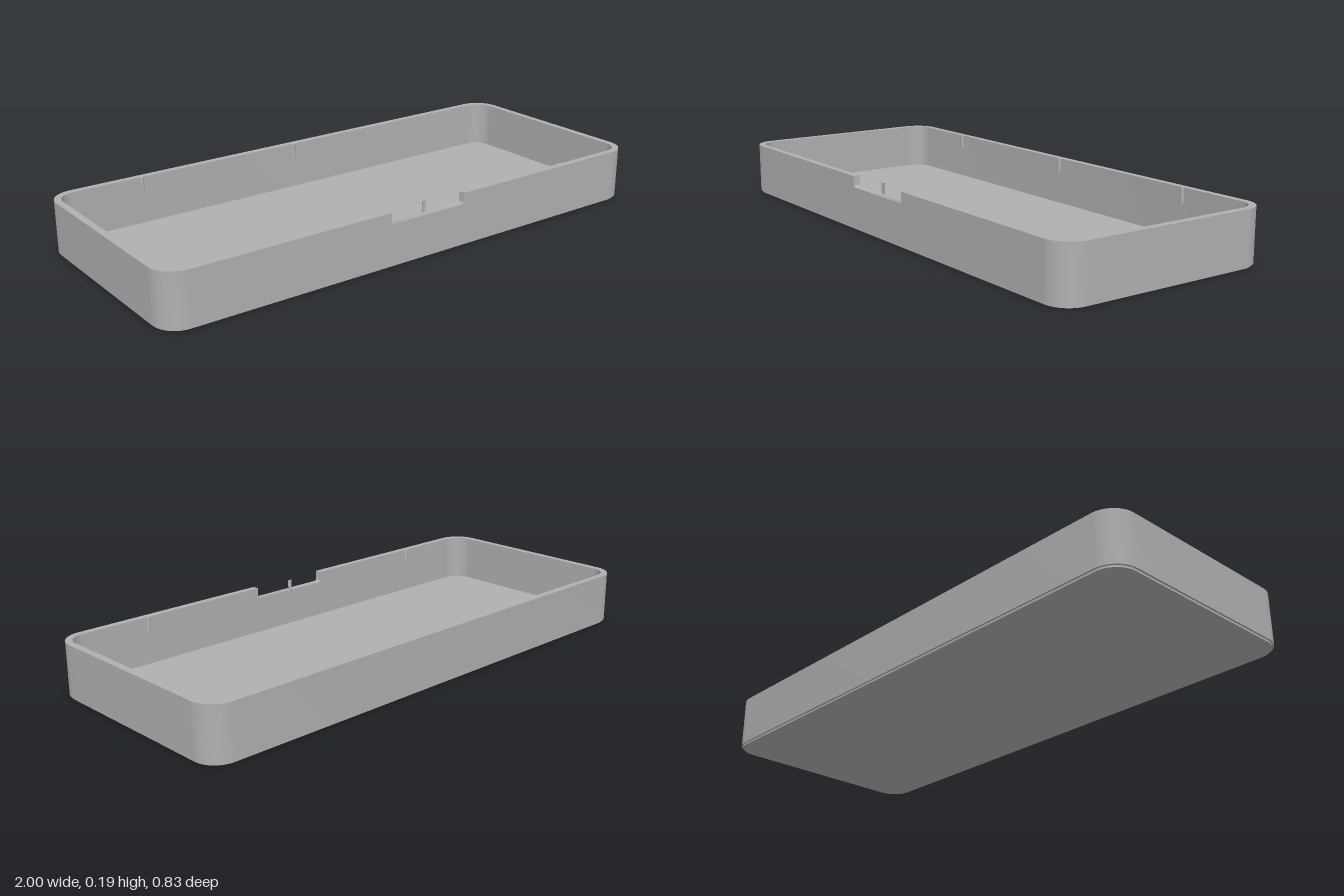
import * as THREE from 'three';
import { toCreasedNormals } from 'three/addons/utils/BufferGeometryUtils.js';

const HX = 1, HZ = 0.4175;             // outer half sizes
const TOP = 0.195, STEP = 0.007;       // rim height, base lip height
const WALL = 0.0245, FLOOR = 0.022;    // thicknesses
const R = 0.09;                        // outer corner radius

const grey = new THREE.MeshStandardMaterial({ color: 0xb0b0b0 });
grey.name = 'grey';

function addMesh(group, name, geometry) {
  const mesh = new THREE.Mesh(toCreasedNormals(geometry, 0.6), grey);
  mesh.name = name;
  group.add(mesh);
  return mesh;
}

// Extrude a plan shape (x, -z) upwards from y0 to y1
function extrudeUp(shape, y0, y1) {
  const g = new THREE.ExtrudeGeometry(shape, { depth: y1 - y0, bevelEnabled: false, curveSegments: 16 });
  return g.rotateX(-Math.PI / 2).translate(0, y0, 0);
}

// Rounded rectangle outline, starting and ending on the front edge, inset from the outside
function outline(path, inset, clockwise) {
  const cx = HX - R, cz = HZ - R, r = R - inset, q = Math.PI / 2;
  const corners = [[cx, -cz, -q], [cx, cz, 0], [-cx, cz, q], [-cx, -cz, 2 * q]];
  if (clockwise) corners.reverse();
  for (const [x, y, a] of corners) {
    if (clockwise) path.absarc(x, y, r, a + q, a, true);
    else path.absarc(x, y, r, a, a + q, false);
  }
  return path;
}

export function createModel() {
  const tray = new THREE.Group();
  tray.name = 'tray';

  // Floor plate, slightly inset to leave a small step under the walls
  addMesh(tray, 'floor', extrudeUp(outline(new THREE.Shape(), 0.007, false), 0, FLOOR));

  // Back and side walls with all four rounded corners, open along the front
  const wrap = outline(new THREE.Shape(), 0, false);
  outline(wrap, WALL, true);
  addMesh(tray, 'sideAndBackWalls', extrudeUp(wrap, STEP, TOP));

  // Front wall with a notch that has rounded lower corners
  const w = HX - R, n = 0.158, nb = 0.155, f = 0.008;
  const front = new THREE.Shape();
  front.moveTo(-w, STEP);
  front.lineTo(w, STEP);
  front.lineTo(w, TOP);
  front.lineTo(n, TOP);
  front.lineTo(n, nb + f);
  front.absarc(n - f, nb + f, f, 0, -Math.PI / 2, true);
  front.lineTo(-n + f, nb);
  front.absarc(-n + f, nb + f, f, -Math.PI / 2, -Math.PI, true);
  front.lineTo(-n, TOP);
  front.lineTo(-w, TOP);
  front.closePath();
  const frontGeo = new THREE.ExtrudeGeometry(front, { depth: WALL, bevelEnabled: false, curveSegments: 6 });
  addMesh(tray, 'frontWall', frontGeo.translate(0, 0, HZ - WALL));

  // Small half-round ribs inside the long walls
  const ribHeight = 0.055;
  for (const side of [-1, 1]) {
    for (const x of [-0.65, 0, 0.65]) {
      const rib = new THREE.Shape();
      rib.absarc(0, 0, 0.0075, 0, Math.PI, false);
      rib.closePath();
      const mesh = addMesh(tray, 'rib', extrudeUp(rib, TOP - ribHeight, TOP));
      mesh.position.set(x, 0, side * (HZ - WALL));
      if (side < 0) mesh.rotation.y = Math.PI;
    }
  }
  return tray;
}
